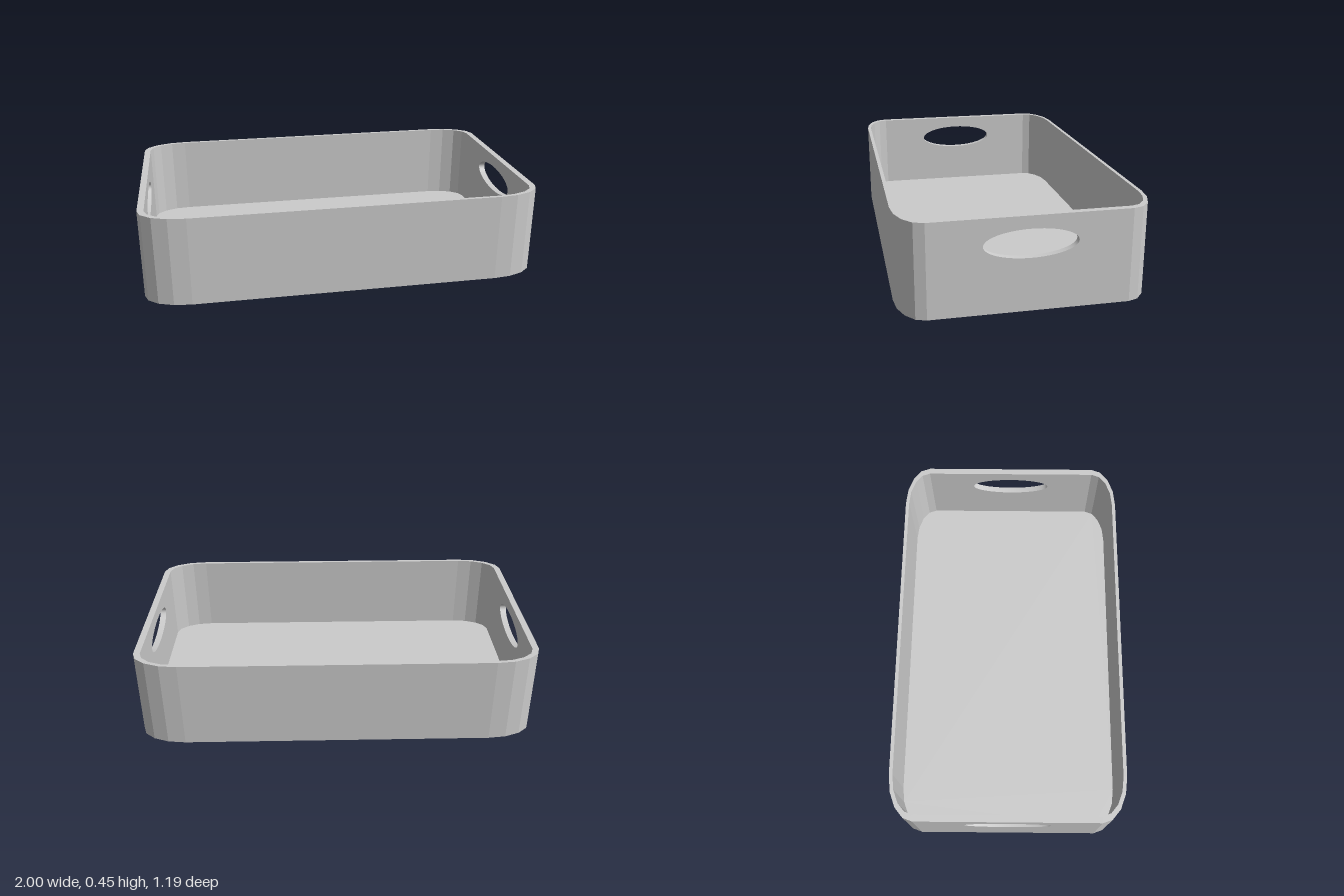
import * as THREE from 'three';

const H = 0.452;            // tray height
const T = 0.035;            // floor thickness
const CX = 0.77, CZ = 0.465; // centre of the corner curves
const OUTER = { rx: 0.23, rz: 0.128 };
const INNER = { rx: 0.197, rz: 0.11 };
const HOLE = { y: 0.323, rz: 0.217, ry: 0.068 };

const material = new THREE.MeshStandardMaterial({ color: 0xcccccc, flatShading: true });
const smooth = new THREE.MeshStandardMaterial({ color: 0xcccccc, side: THREE.DoubleSide });

function mesh(name, geometry, mat = material) {
  const m = new THREE.Mesh(geometry, mat);
  m.name = name;
  return m;
}

// Two rounded corners, running from the left end to the right end along one long side
function halfOutline({ rx, rz }) {
  const points = [];
  for (const side of [1, -1]) {
    for (let i = 0; i <= 4; i++) {
      const a = (i / 4) * Math.PI / 2 + (side < 0 ? Math.PI / 2 : 0);
      points.push(new THREE.Vector2(side * CX + rx * Math.cos(a), CZ + rz * Math.sin(a)));
    }
  }
  return points;
}

function fullOutline(size) {
  const half = halfOutline(size);
  return [...half, ...half.map((p) => p.clone().negate())];
}

// Flat horizontal face at a given height
function flatFace(shape, y, up = true) {
  return new THREE.ShapeGeometry(shape).rotateX(up ? -Math.PI / 2 : Math.PI / 2).translate(0, y, 0);
}

// Upright wall surface following a line of points
function wallStrip(points, y0, y1) {
  const positions = [];
  for (let i = 0; i < points.length - 1; i++) {
    const a = points[i], b = points[i + 1];
    positions.push(a.x, y0, -a.y, b.x, y0, -b.y, b.x, y1, -b.y);
    positions.push(a.x, y0, -a.y, b.x, y1, -b.y, a.x, y1, -a.y);
  }
  const geometry = new THREE.BufferGeometry();
  geometry.setAttribute('position', new THREE.Float32BufferAttribute(positions, 3));
  geometry.computeVertexNormals();
  return geometry;
}

// Flat end panel with the oval grip hole, facing +x or -x
function endPanel(x, y0, facing) {
  const shape = new THREE.Shape([
    new THREE.Vector2(-CZ, y0), new THREE.Vector2(CZ, y0),
    new THREE.Vector2(CZ, H), new THREE.Vector2(-CZ, H),
  ]);
  shape.holes.push(new THREE.Path().absellipse(0, HOLE.y, HOLE.rz, HOLE.ry, 0, Math.PI * 2, true));
  return new THREE.ShapeGeometry(shape, 24).rotateY(facing * Math.PI / 2).translate(x, 0, 0);
}

export function createModel() {
  const model = new THREE.Group();
  model.name = 'tray';

  // Underside, floor and top rim
  const ring = new THREE.Shape(fullOutline(OUTER));
  ring.holes.push(new THREE.Path(fullOutline(INNER)));
  model.add(
    mesh('underside', flatFace(new THREE.Shape(fullOutline(OUTER)), 0, false)),
    mesh('floor', flatFace(new THREE.Shape(fullOutline(INNER)), T)),
    mesh('rim', flatFace(ring, H)),
  );

  // Long walls with their corners, and end walls with grips, each made twice
  const outerX = CX + OUTER.rx, innerX = CX + INNER.rx;
  for (const [i, long, end] of [[0, 'backWall', 'leftEnd'], [1, 'frontWall', 'rightEnd']]) {
    const wall = new THREE.Group();
    wall.name = long;
    wall.add(
      mesh('outerFace', wallStrip(halfOutline(OUTER), 0, H)),
      mesh('innerFace', wallStrip(halfOutline(INNER).reverse(), T, H)),
    );

    const endWall = new THREE.Group();
    endWall.name = end;
    const grip = new THREE.CylinderGeometry(1, 1, outerX - innerX, 48, 1, true)
      .scale(HOLE.ry, 1, HOLE.rz)
      .rotateZ(Math.PI / 2)
      .translate((outerX + innerX) / 2, HOLE.y, 0);
    endWall.add(
      mesh('outerPanel', endPanel(outerX, 0, 1)),
      mesh('innerPanel', endPanel(innerX, T, -1)),
      mesh('gripHole', grip, smooth),
    );

    wall.rotation.y = endWall.rotation.y = i * Math.PI;
    model.add(wall, endWall);
  }
  return model;
}
